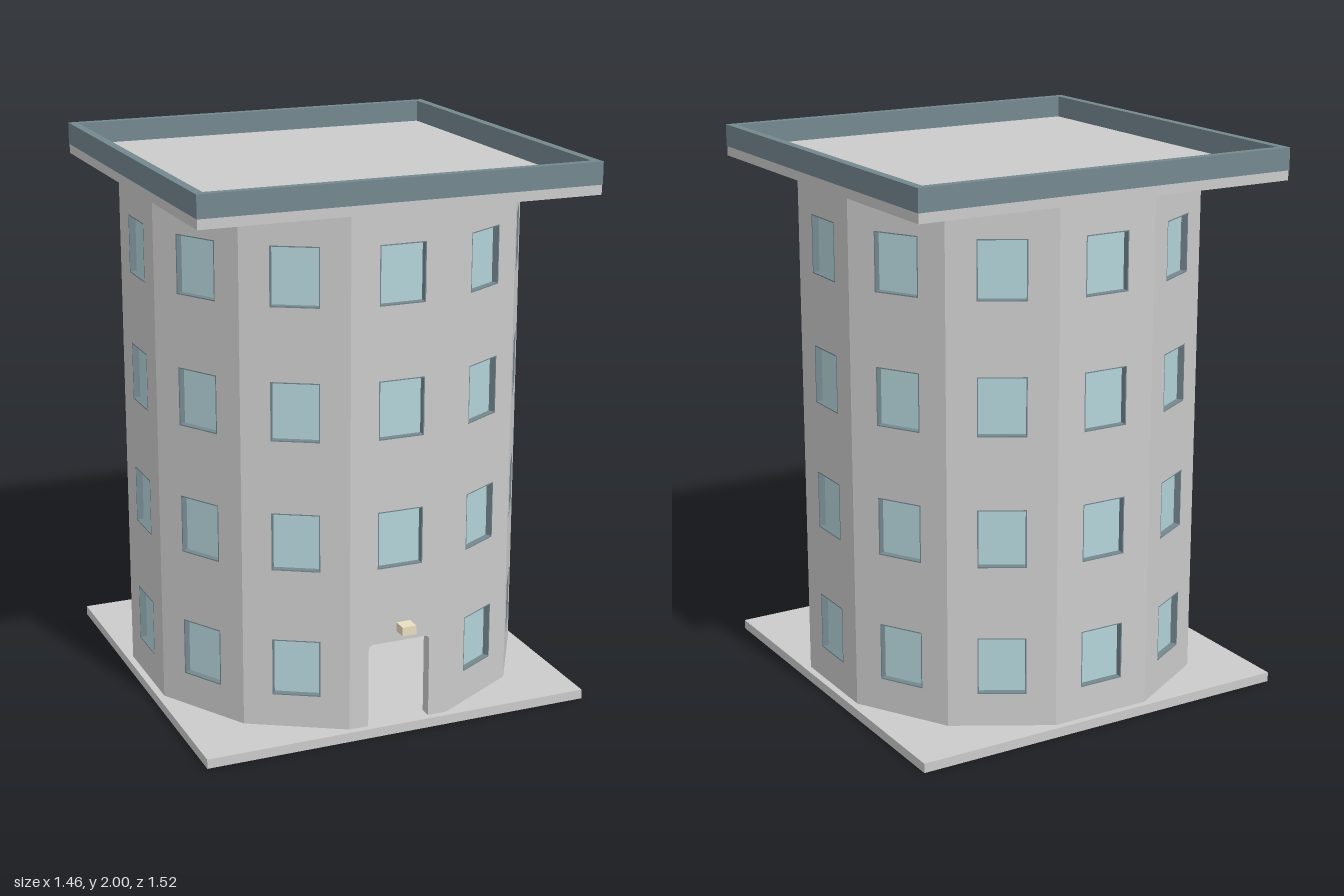
import * as THREE from 'three';

const mat = (color) => new THREE.MeshStandardMaterial({ color });
const wallMat = mat(0xcccccc);
const slateMat = mat(0x74888f);
const glassMat = mat(0xb4d4da);
const lampMat = mat(0xe8dfbf);

const SIDES = 12;
const APOTHEM = 0.705;
const HALF = APOTHEM * Math.tan(Math.PI / SIDES); // half width of a facet
const WALL = 0.045; // wall thickness
const BASE = 0.035;
const WALL_TOP = 1.885;
const WIN_W = 0.17, WIN_H = 0.21;
const FLOORS = [0.26, 0.73, 1.2, 1.67]; // window centre heights

function rectPath(w, h, y, Type = THREE.Path) {
  const p = new Type();
  p.moveTo(-w / 2, y - h / 2);
  p.lineTo(w / 2, y - h / 2);
  p.lineTo(w / 2, y + h / 2);
  p.lineTo(-w / 2, y + h / 2);
  p.closePath();
  return p;
}

function extrude(shape, depth) {
  return new THREE.ExtrudeGeometry(shape, { depth, bevelEnabled: false, curveSegments: 5 });
}

function add(parent, name, geometry, material, x = 0, y = 0, z = 0) {
  const mesh = new THREE.Mesh(geometry, material);
  mesh.name = name;
  mesh.position.set(x, y, z);
  parent.add(mesh);
  return mesh;
}

// Outline of one wall facet, optionally notched by the doorway
function facetShape(hasDoor) {
  const s = new THREE.Shape();
  s.moveTo(-HALF, BASE);
  if (hasDoor) {
    const w = 0.117, top = 0.345, r = 0.02;
    s.lineTo(-w, BASE);
    s.lineTo(-w, top - r);
    s.quadraticCurveTo(-w, top, -w + r, top);
    s.lineTo(w - r, top);
    s.quadraticCurveTo(w, top, w, top - r);
    s.lineTo(w, BASE);
  }
  s.lineTo(HALF, BASE);
  s.lineTo(HALF, WALL_TOP);
  s.lineTo(-HALF, WALL_TOP);
  s.closePath();
  return s;
}

export function createModel() {
  const model = new THREE.Group();
  model.name = 'tower';
  const building = new THREE.Group();
  building.name = 'building';
  building.position.z = -0.03;
  model.add(building);

  // Square ground slab and roof slab
  add(building, 'groundSlab', new THREE.BoxGeometry(1.46, BASE, 1.46), wallMat, 0, BASE / 2);
  add(building, 'roofSlab', new THREE.BoxGeometry(1.46, 0.035, 1.46), wallMat, 0, WALL_TOP + 0.0175);

  // Parapet ring around the roof
  const ring = rectPath(1.464, 1.464, 0, THREE.Shape);
  ring.holes.push(rectPath(1.4, 1.4, 0));
  add(building, 'parapet', extrude(ring, 0.08), slateMat, 0, 1.92).rotation.x = -Math.PI / 2;

  // Thin lining that frames each window opening
  const lining = rectPath(WIN_W, WIN_H, 0, THREE.Shape);
  lining.holes.push(rectPath(WIN_W - 0.008, WIN_H - 0.008, 0));
  const frameGeo = extrude(lining, WALL);
  const glassGeo = new THREE.BoxGeometry(WIN_W - 0.006, WIN_H - 0.006, 0.012);

  // Twelve hollow wall facets; the front one has the open doorway
  for (let i = 0; i < SIDES; i++) {
    const facet = new THREE.Group();
    facet.name = 'facet' + i;
    facet.rotation.y = (i / SIDES) * Math.PI * 2;
    building.add(facet);

    const hasDoor = i === 0;
    const shape = facetShape(hasDoor);
    const levels = hasDoor ? FLOORS.slice(1) : FLOORS;
    for (const y of levels) {
      shape.holes.push(rectPath(WIN_W, WIN_H, y));
      add(facet, 'windowFrame', frameGeo, slateMat, 0, y, APOTHEM - WALL);
      add(facet, 'windowGlass', glassGeo, glassMat, 0, y, APOTHEM - 0.03);
    }
    add(facet, 'wall', extrude(shape, WALL), wallMat, 0, 0, APOTHEM - WALL);
  }

  // Small lamp in front of the doorway
  add(model, 'doorLamp', new THREE.BoxGeometry(0.052, 0.032, 0.053), lampMat, 0, 0.415, 0.733);

  return model;
}
